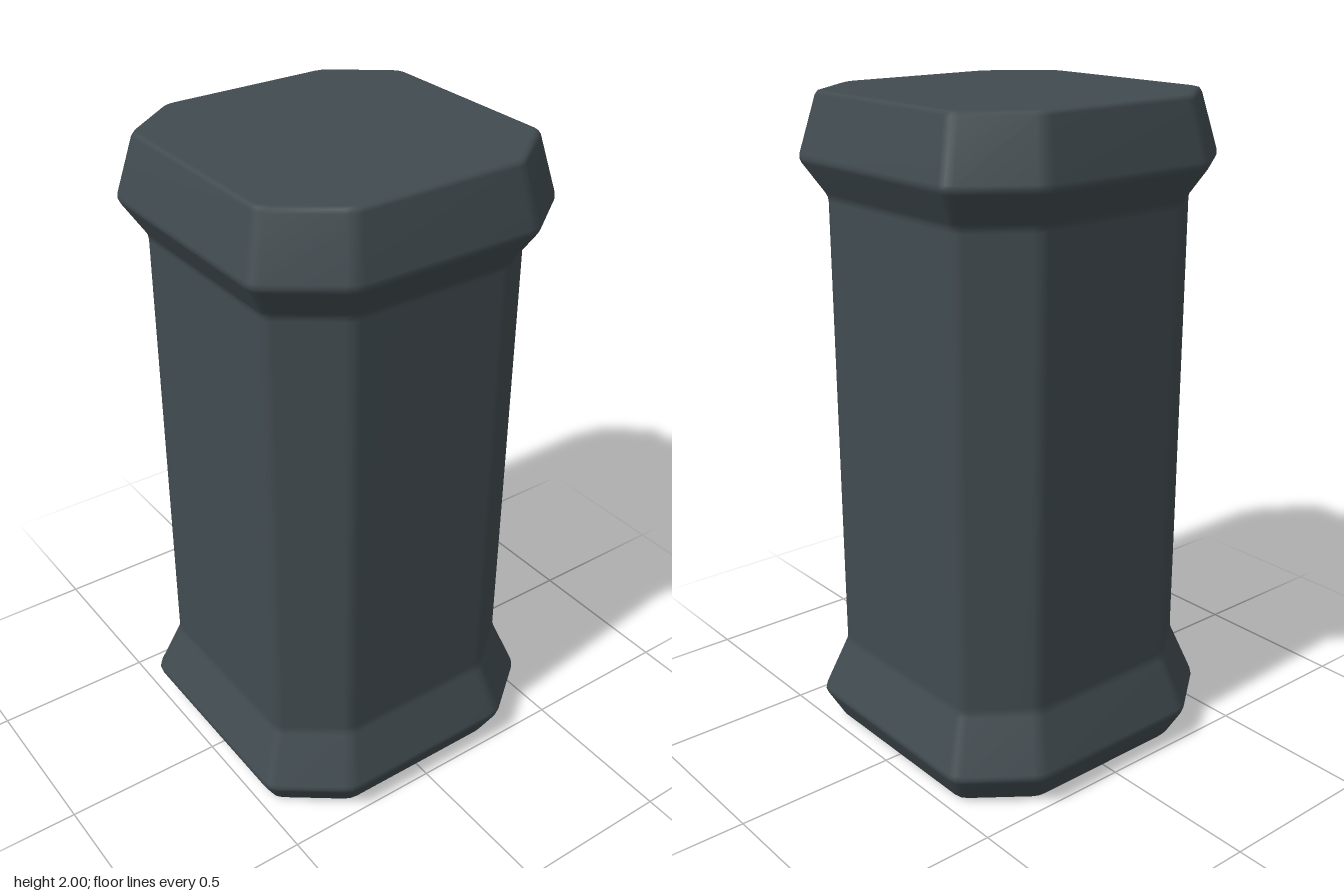
import * as THREE from 'three';

// Replace each corner of a polyline with a small rounded bevel
function soften(points, size, closed) {
  const out = [];
  const n = points.length;
  points.forEach((p, i) => {
    if (!closed && (i === 0 || i === n - 1)) return out.push(p.clone());
    const toward = (q) => p.clone().add(q.clone().sub(p).setLength(size));
    const a = toward(points[(i + n - 1) % n]);
    const b = toward(points[(i + 1) % n]);
    const mid = a.clone().add(b).multiplyScalar(0.25).addScaledVector(p, 0.5);
    out.push(a, mid, b);
  });
  return out;
}

// Sweep a closed unit outline (x, z) up a profile of (scale, height)
function loft(outline, profile) {
  const n = outline.length;
  const positions = [];
  const index = [];
  for (const { x: scale, y } of profile) {
    for (const p of outline) positions.push(p.x * scale, y, p.y * scale);
  }
  for (let j = 0; j < profile.length - 1; j++) {
    for (let i = 0; i < n; i++) {
      const a = j * n + i;
      const b = j * n + ((i + 1) % n);
      index.push(a, a + n, b, b, a + n, b + n);
    }
  }
  const geometry = new THREE.BufferGeometry();
  geometry.setAttribute('position', new THREE.Float32BufferAttribute(positions, 3));
  geometry.setIndex(index);
  geometry.computeVertexNormals();
  return geometry;
}

export function createModel() {
  const group = new THREE.Group();
  group.name = 'pillar';

  const stone = new THREE.MeshStandardMaterial({ color: 0x414b50 });
  stone.name = 'dark slate';

  // Square outline with cut corners, slightly wider across the front
  const cx = 0.685;
  const cz = 0.585;
  const corners = [
    [1, -cz], [1, cz], [cx, 1], [-cx, 1],
    [-1, cz], [-1, -cz], [-cx, -1], [cx, -1],
  ].map(([x, z]) => new THREE.Vector2(x, z));

  // Flared foot, straight shaft and flared head
  const profile = [
    [0, 0], [0.449, 0], [0.502, 0.1], [0.435, 0.28],
    [0.435, 1.7], [0.502, 1.81], [0.453, 2], [0, 2],
  ].map(([r, y]) => new THREE.Vector2(r, y));

  const column = new THREE.Mesh(
    loft(soften(corners, 0.05, true), soften(profile, 0.014, false)),
    stone,
  );
  column.name = 'column';
  group.add(column);
  return group;
}
